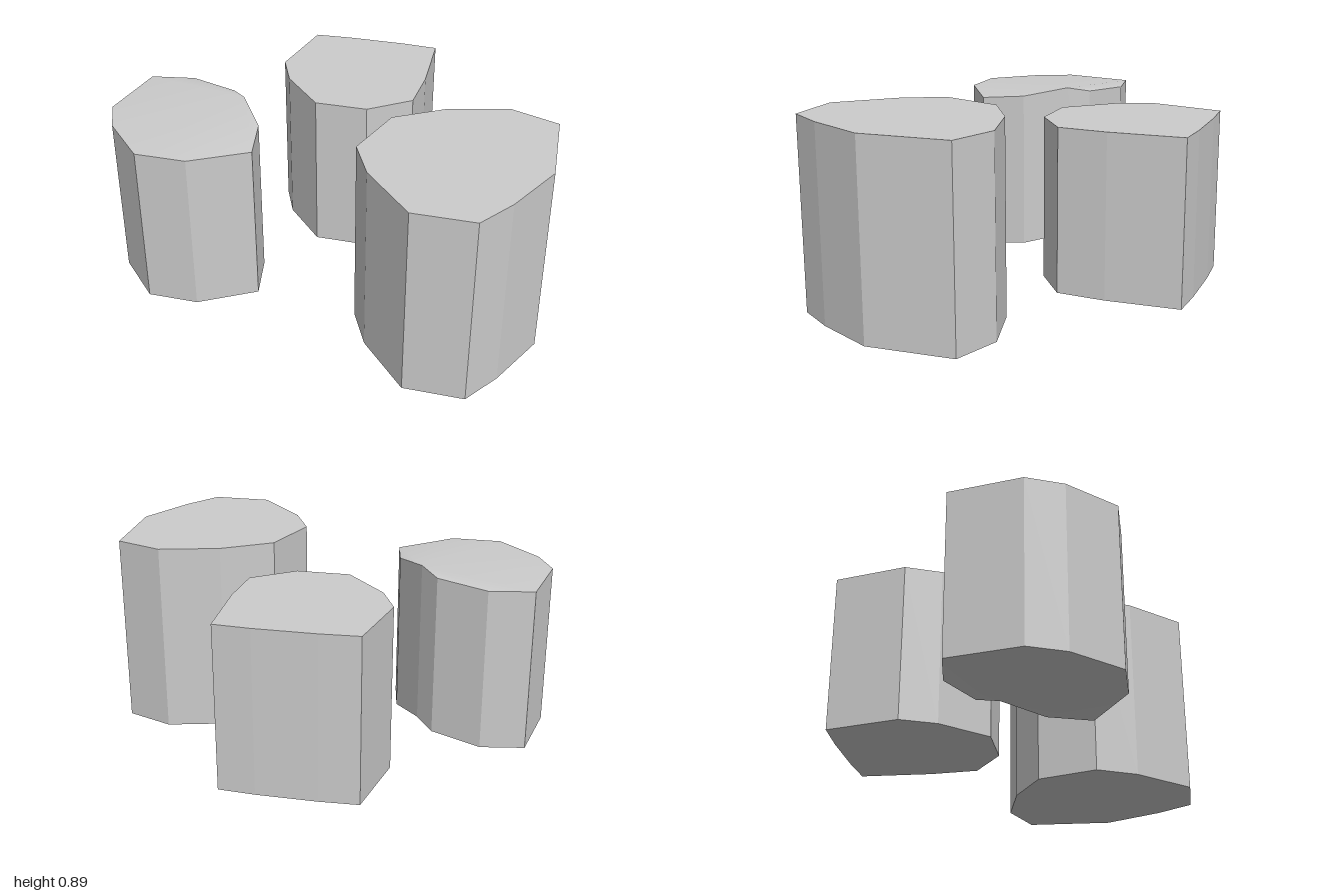
import * as THREE from 'three';

const material = new THREE.MeshStandardMaterial({ color: 0xcccccc });

// Upright prism. Outline corners are [x, z, lift], running clockwise from above;
// the optional lift tilts both caps at that corner. Caps fan from the first corner.
function createPillar(name, bottom, height, outline) {
  const positions = [];
  const index = [];
  const n = outline.length;
  const add = ([x, z, lift = 0], y) => {
    positions.push(x, bottom + lift + y, z);
    return positions.length / 3 - 1;
  };

  // Walls, each with its own corners so the edges stay sharp
  for (let i = 0; i < n; i++) {
    const a = outline[i];
    const b = outline[(i + 1) % n];
    const a0 = add(a, 0), a1 = add(a, height), b1 = add(b, height), b0 = add(b, 0);
    index.push(a0, a1, b1, a0, b1, b0);
  }

  // Bottom and top caps
  const low = outline.map((p) => add(p, 0))[0];
  const high = outline.map((p) => add(p, height))[0];
  for (let i = 1; i < n - 1; i++) {
    index.push(low, low + i, low + i + 1);
    index.push(high, high + i + 1, high + i);
  }

  const geometry = new THREE.BufferGeometry();
  geometry.setAttribute('position', new THREE.Float32BufferAttribute(positions, 3));
  geometry.setIndex(index);
  geometry.computeVertexNormals();
  const mesh = new THREE.Mesh(geometry, material);
  mesh.name = name;
  return mesh;
}

export function createModel() {
  const model = new THREE.Group();
  model.name = 'pillarCluster';

  // Tall pillar at the front left
  model.add(createPillar('tallPillar', 0, 0.89, [
    [0.49, -0.05], [0.76, -0.12], [0.98, -0.04], [1, 0.365], [0.87, 0.63],
    [0.76, 0.79], [0.49, 0.79], [0.27, 0.55], [0.18, 0.365], [0.27, 0.085],
  ]));

  // Flat-topped pillar at the back
  model.add(createPillar('backPillar', 0.07, 0.75, [
    [-0.305, -0.78], [-0.13, -0.79], [0.14, -0.79], [0.305, -0.78], [0.32, -0.44],
    [0.305, -0.215], [0.12, -0.08], [-0.12, -0.08], [-0.305, -0.28], [-0.375, -0.44],
  ]));

  // Pillar on the right with slightly warped caps, highest at its first corner
  model.add(createPillar('warpedPillar', 0.07, 0.75, [
    [-0.43, 0.01, 0.034], [-0.305, 0.19, 0.002], [-0.27, 0.39, -0.012], [-0.51, 0.55],
    [-0.74, 0.55], [-0.93, 0.35], [-1, 0.19], [-0.94, -0.135], [-0.74, -0.17], [-0.51, -0.08, 0.011],
  ]));

  return model;
}
